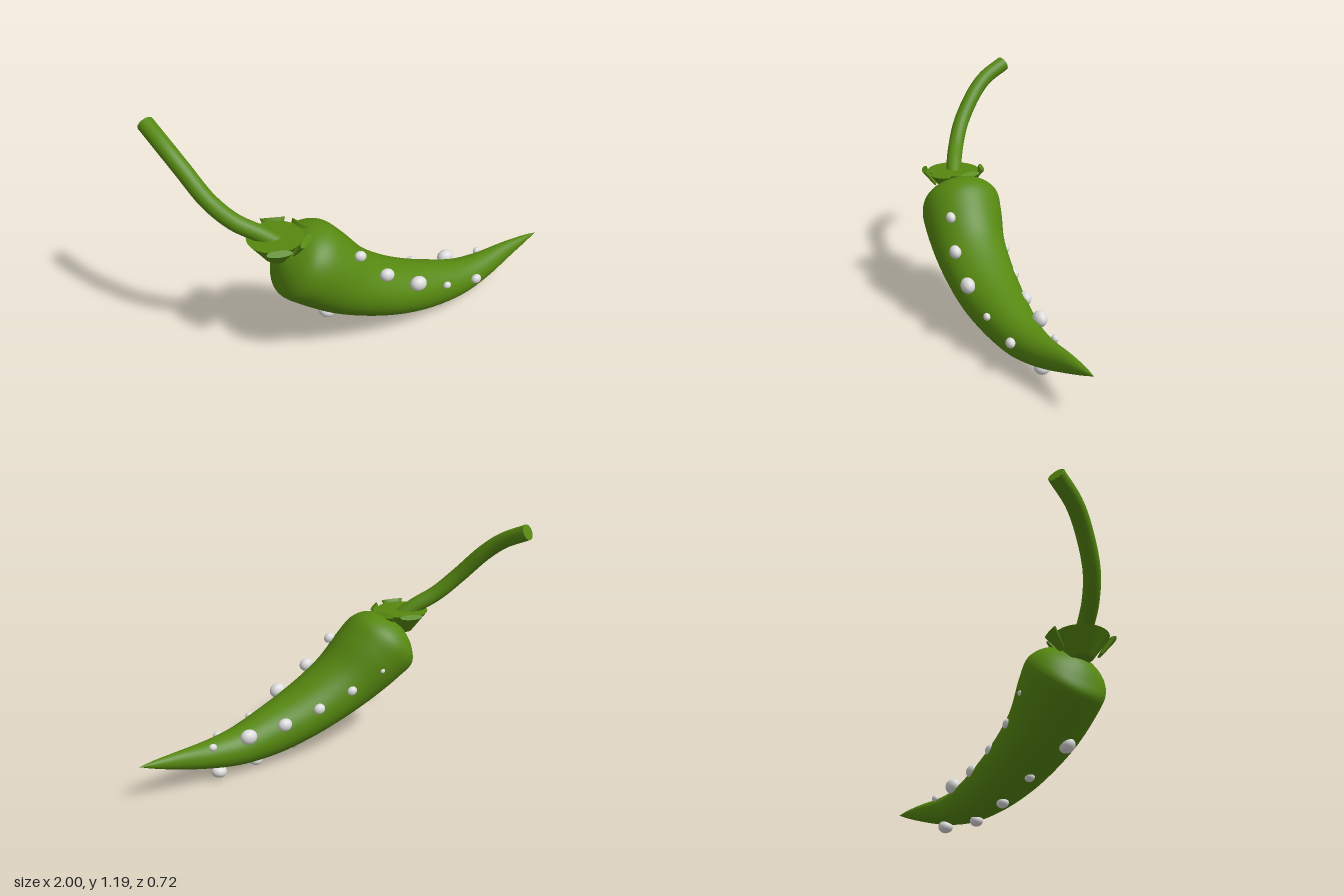
import * as THREE from 'three';

// Body sections: top edge x, y / bottom edge x, y / front z, back z
const SECTIONS = [
  [-0.52, 0.61, -0.52, 0.61, 0.14, 0.14],
  [-0.455, 0.665, -0.55, 0.555, 0.22, 0.07],
  [-0.37, 0.70, -0.565, 0.46, 0.315, -0.02],
  [-0.28, 0.685, -0.56, 0.39, 0.35, -0.06],
  [-0.20, 0.61, -0.48, 0.325, 0.36, -0.05],
  [-0.10, 0.495, -0.33, 0.23, 0.357, -0.015],
  [0.00, 0.42, -0.15, 0.15, 0.35, 0.005],
  [0.14, 0.345, 0.04, 0.088, 0.335, 0.022],
  [0.30, 0.285, 0.24, 0.046, 0.30, 0.043],
  [0.46, 0.235, 0.45, 0.043, 0.26, 0.06],
  [0.61, 0.22, 0.64, 0.08, 0.21, 0.07],
  [0.78, 0.222, 0.82, 0.138, 0.15, 0.075],
  [0.92, 0.218, 0.93, 0.18, 0.115, 0.08],
  [1.00, 0.21, 1.00, 0.21, 0.09, 0.09],
];

// Skin elliptical rings between an upper and a lower guide curve
function bodyGeometry(rings = 78, sides = 48) {
  const upper = new THREE.CatmullRomCurve3(SECTIONS.map(s => new THREE.Vector3(s[0], s[1], s[4])));
  const lower = new THREE.CatmullRomCurve3(SECTIONS.map(s => new THREE.Vector3(s[2], s[3], s[5])));
  const pos = [], index = [];
  for (let i = 0; i <= rings; i++) {
    const u = upper.getPoint(i / rings), l = lower.getPoint(i / rings);
    const c = u.clone().add(l).multiplyScalar(0.5);
    const h = u.clone().sub(l).multiplyScalar(0.5);
    for (let j = 0; j < sides; j++) {
      const a = (j / sides) * Math.PI * 2;
      pos.push(c.x + h.x * Math.cos(a), c.y + h.y * Math.cos(a), c.z + h.z * Math.sin(a));
      if (i < rings) {
        const p = i * sides + j, q = i * sides + (j + 1) % sides;
        index.push(p, q, p + sides, q, q + sides, p + sides);
      }
    }
  }
  const g = new THREE.BufferGeometry();
  g.setAttribute('position', new THREE.Float32BufferAttribute(pos, 3));
  g.setIndex(index);
  g.computeVertexNormals();
  return g;
}

export function createModel() {
  const green = new THREE.MeshStandardMaterial({ color: 0x568810 });
  green.name = 'pepper green';
  const pale = new THREE.MeshStandardMaterial({ color: 0xdcdcdc });
  pale.name = 'pale grey';

  const model = new THREE.Group();
  model.name = 'chilliPepper';
  const add = (parent, name, geometry, material) => {
    const mesh = new THREE.Mesh(geometry, material);
    mesh.name = name;
    parent.add(mesh);
    return mesh;
  };

  add(model, 'body', bodyGeometry(), green);

  // Curved stem with a flat cut end
  const path = new THREE.CatmullRomCurve3([
    [-0.53, 0.65, 0.14], [-0.61, 0.71, 0.105], [-0.71, 0.775, 0.055], [-0.80, 0.875, -0.01],
    [-0.875, 1.01, -0.115], [-0.92, 1.09, -0.205], [-0.96, 1.157, -0.335],
  ].map(p => new THREE.Vector3(...p)));
  add(model, 'stem', new THREE.TubeGeometry(path, 40, 0.041, 20), green);
  const cut = add(model, 'stemEnd', new THREE.CircleGeometry(0.041, 20), green);
  cut.position.copy(path.getPoint(1));
  cut.lookAt(path.getPoint(1).add(path.getTangent(1)));

  // Cap with flared sepals around it
  const calyx = new THREE.Group();
  calyx.name = 'calyx';
  calyx.position.set(-0.545, 0, 0.135);
  model.add(calyx);
  add(calyx, 'cap', new THREE.CylinderGeometry(0.135, 0.055, 0.11, 32), green).position.y = 0.635;
  for (const degrees of [-72, -16, 45, 105]) {
    const arm = new THREE.Group();
    arm.name = 'sepalArm';
    arm.rotation.y = -THREE.MathUtils.degToRad(degrees);
    calyx.add(arm);
    const sepal = add(arm, 'sepal', new THREE.CylinderGeometry(0.06, 0.025, 0.1, 16), green);
    sepal.position.set(0.125, 0.655, 0);
    sepal.rotation.z = -0.6;
    sepal.scale.x = 0.28;
  }

  // Rows of flattened bumps: x, y, z, radius
  const rows = {
    frontBump: [[-0.18, 0.555, 0.285, 0.03], [-0.05, 0.42, 0.312, 0.037], [0.125, 0.31, 0.315, 0.044],
      [0.31, 0.22, 0.292, 0.021], [0.51, 0.17, 0.258, 0.028]],
    backBump: [[-0.30, 0.45, -0.04, 0.014], [-0.14, 0.36, 0.005, 0.028], [0.04, 0.29, 0.035, 0.032],
      [0.23, 0.24, 0.058, 0.038], [0.43, 0.22, 0.072, 0.044], [0.62, 0.208, 0.087, 0.021]],
    lowerBump: [[-0.33, 0.235, 0.21, 0.042], [-0.10, 0.135, 0.165, 0.026], [0.12, 0.066, 0.165, 0.032],
      [0.345, 0.03, 0.165, 0.035], [0.575, 0.047, 0.127, 0.04]],
  };
  const ball = new THREE.SphereGeometry(1, 24, 16);
  for (const [name, bumps] of Object.entries(rows)) {
    for (const [x, y, z, r] of bumps) {
      const bump = add(model, name, ball, pale);
      bump.position.set(x, y, z);
      if (name === 'lowerBump') bump.scale.set(r, r * 0.8, r * 0.95);
      else bump.scale.set(r, r * 0.88, r * 0.78);
      bump.rotation.z = THREE.MathUtils.clamp((x - 0.35) * 0.8, -0.5, 0.2);
    }
  }
  return model;
}
